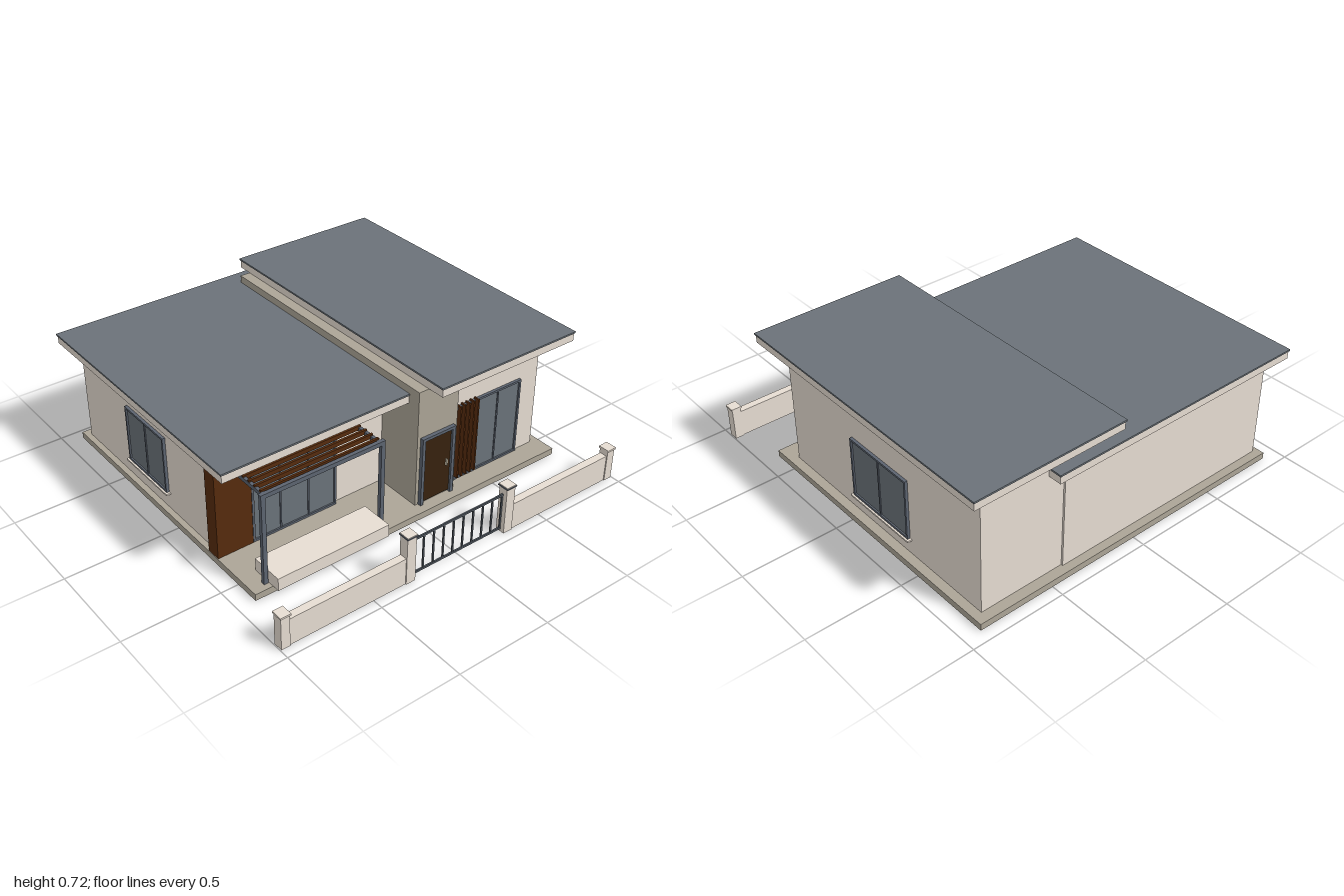
import * as THREE from 'three';

const mat = (name, color) => {
  const m = new THREE.MeshStandardMaterial({ color });
  m.name = name;
  return m;
};

export function createModel() {
  const cream = mat('cream render', 0xe8ded3);
  const taupe = mat('taupe render', 0xaca597);
  const slate = mat('slate roof', 0x6b7279);
  const steel = mat('grey steel', 0x5c6470);
  const glass = mat('window glass', 0x6b737a);
  const wood = mat('brown timber', 0x562b0d);
  const darkWood = mat('dark door timber', 0x37220e);
  const iron = mat('dark iron', 0x50575f);
  const brass = mat('handle metal', 0xe6dcc4);

  const house = new THREE.Group();
  house.name = 'house';

  // Box given by its minimum and maximum on each axis
  function box(name, material, x0, x1, y0, y1, z0, z1, parent = house) {
    const mesh = new THREE.Mesh(new THREE.BoxGeometry(x1 - x0, y1 - y0, z1 - z0), material);
    mesh.position.set((x0 + x1) / 2, (y0 + y1) / 2, (z0 + z1) / 2);
    mesh.name = name;
    parent.add(mesh);
    return mesh;
  }
  function group(name, parent = house) {
    const g = new THREE.Group();
    g.name = name;
    parent.add(g);
    return g;
  }

  // Foundation and the three wall volumes
  box('foundation', taupe, -0.908, 0.908, 0, 0.035, -0.936, 0.635);
  box('leftWing', cream, -0.878, 0.402, 0.035, 0.58, -0.892, 0.315);
  box('rightWing', cream, 0.18, 0.86, 0.035, 0.668, -0.882, 0.522);
  box('entranceWall', taupe, 0.05, 0.292, 0.035, 0.667, -0.86, 0.572);
  box('cornerCladding', wood, -0.905, -0.70, 0.035, 0.567, 0.26, 0.336);

  // Flat roof: timber soffit, rendered fascia, slate covering
  function roof(name, x0, x1, z0, z1, y) {
    const g = group(name);
    box('soffit', wood, x0 + 0.012, x1 - 0.012, y - 0.005, y + 0.006, z0 + 0.012, z1 - 0.012, g);
    box('fascia', cream, x0 + 0.005, x1 - 0.005, y, y + 0.042, z0 + 0.005, z1 - 0.005, g);
    box('covering', slate, x0, x1, y + 0.042, y + 0.051, z0, z1, g);
  }
  roof('leftRoof', -0.97, 0.494, -0.957, 0.507, 0.578);
  roof('rightRoof', 0.10, 0.94, -0.942, 0.67, 0.668);

  // Window facing +z, centred on its base; turned for the side walls
  function makeWindow(name, width, height, panes, depth, sill) {
    const g = group(name);
    const h = width / 2, t = 0.011;
    box('glass', glass, -h + t, h - t, t, height - t, 0, depth - 0.008, g);
    for (const s of [-1, 1]) {
      box('frameSide', steel, s * (h - t / 2) - t / 2, s * (h - t / 2) + t / 2, 0, height, 0, depth, g);
    }
    box('frameTop', steel, -h, h, height - t, height, 0, depth, g);
    box('frameBottom', steel, -h, h, 0, t, 0, depth, g);
    for (let i = 1; i < panes; i++) {
      const x = -h + (width * i) / panes;
      box('mullion', steel, x - 0.004, x + 0.004, t, height - t, 0, depth - 0.003, g);
    }
    if (sill) box('sill', cream, -h - 0.012, h + 0.012, -0.009, 0, 0, 0.024, g);
    return g;
  }
  makeWindow('leftFrontWindow', 0.473, 0.385, 3, 0.024, false).position.set(-0.477, 0.038, 0.315);
  makeWindow('rightFrontWindow', 0.445, 0.42, 3, 0.015, false).position.set(0.518, 0.04, 0.522);
  const eastWindow = makeWindow('rightSideWindow', 0.413, 0.325, 2, 0.015, true);
  eastWindow.position.set(0.86, 0.12, -0.182);
  eastWindow.rotation.y = Math.PI / 2;
  const westWindow = makeWindow('leftSideWindow', 0.345, 0.305, 2, 0.015, true);
  westWindow.position.set(-0.878, 0.13, -0.288);
  westWindow.rotation.y = -Math.PI / 2;

  // Front door with frame and handle
  const door = group('frontDoor');
  box('doorLeaf', darkWood, 0.085, 0.252, 0.045, 0.398, 0.572, 0.58, door);
  box('frameLeft', steel, 0.068, 0.085, 0.035, 0.413, 0.572, 0.592, door);
  box('frameRight', steel, 0.252, 0.27, 0.035, 0.413, 0.572, 0.592, door);
  box('frameTop', steel, 0.085, 0.252, 0.398, 0.413, 0.572, 0.592, door);
  box('handle', brass, 0.224, 0.232, 0.2, 0.235, 0.58, 0.589, door);

  // Upright timber fins beside the door
  for (let i = 0; i < 5; i++) {
    const x = 0.333 + i * 0.0275;
    box('timberFin', wood, x - 0.004, x + 0.004, 0.06, 0.47, 0.524, 0.557);
  }

  // Terrace step
  box('terraceStep', cream, -0.815, -0.195, 0.036, 0.102, 0.5, 0.676);

  // Pergola
  const pergola = group('pergola');
  for (const x of [-0.83, -0.18]) {
    box('post', steel, x - 0.011, x + 0.011, 0.035, 0.5, 0.585, 0.605, pergola);
    const bx = x < -0.5 ? x + 0.012 : x - 0.012;
    box('sideBeam', steel, bx - 0.008, bx + 0.008, 0.497, 0.517, 0.315, 0.585, pergola);
  }
  box('frontBeam', steel, -0.843, -0.169, 0.498, 0.52, 0.585, 0.605, pergola);
  for (let i = 0; i < 6; i++) {
    const z = 0.358 + i * 0.043;
    box('slat', wood, -0.825, -0.185, 0.503, 0.525, z - 0.006, z + 0.006, pergola);
  }

  // Boundary wall with capped pillars, mirrored about the gate
  const fence = group('boundaryWall');
  for (const s of [-1, 1]) {
    const xs = [s * 0.315, s * 0.96].sort((a, b) => a - b);
    box('wallPanel', cream, xs[0], xs[1], 0, 0.143, 0.905, 0.945, fence);
    const gx = s * 0.295, ex = s * 0.972;
    box('gatePillar', cream, gx - 0.026, gx + 0.026, 0, 0.25, 0.9, 0.95, fence);
    box('gatePillarBand', steel, gx - 0.03, gx + 0.03, 0.25, 0.257, 0.894, 0.956, fence);
    box('gatePillarCap', cream, gx - 0.028, gx + 0.028, 0.257, 0.261, 0.896, 0.954, fence);
    box('endPillar', cream, ex - 0.023, ex + 0.023, 0, 0.17, 0.9, 0.95, fence);
    box('endPillarCap', cream, ex - 0.027, ex + 0.027, 0.17, 0.18, 0.895, 0.955, fence);
  }

  // Gate
  const gate = group('gate');
  for (const y of [0.02, 0.211]) box('rail', iron, -0.27, 0.27, y - 0.0055, y + 0.0055, 0.921, 0.929, gate);
  for (let i = 0; i < 10; i++) {
    const x = -0.264 + (i * 0.528) / 9;
    box('bar', iron, x - 0.004, x + 0.004, 0.02, 0.211, 0.9215, 0.9285, gate);
  }

  return house;
}
